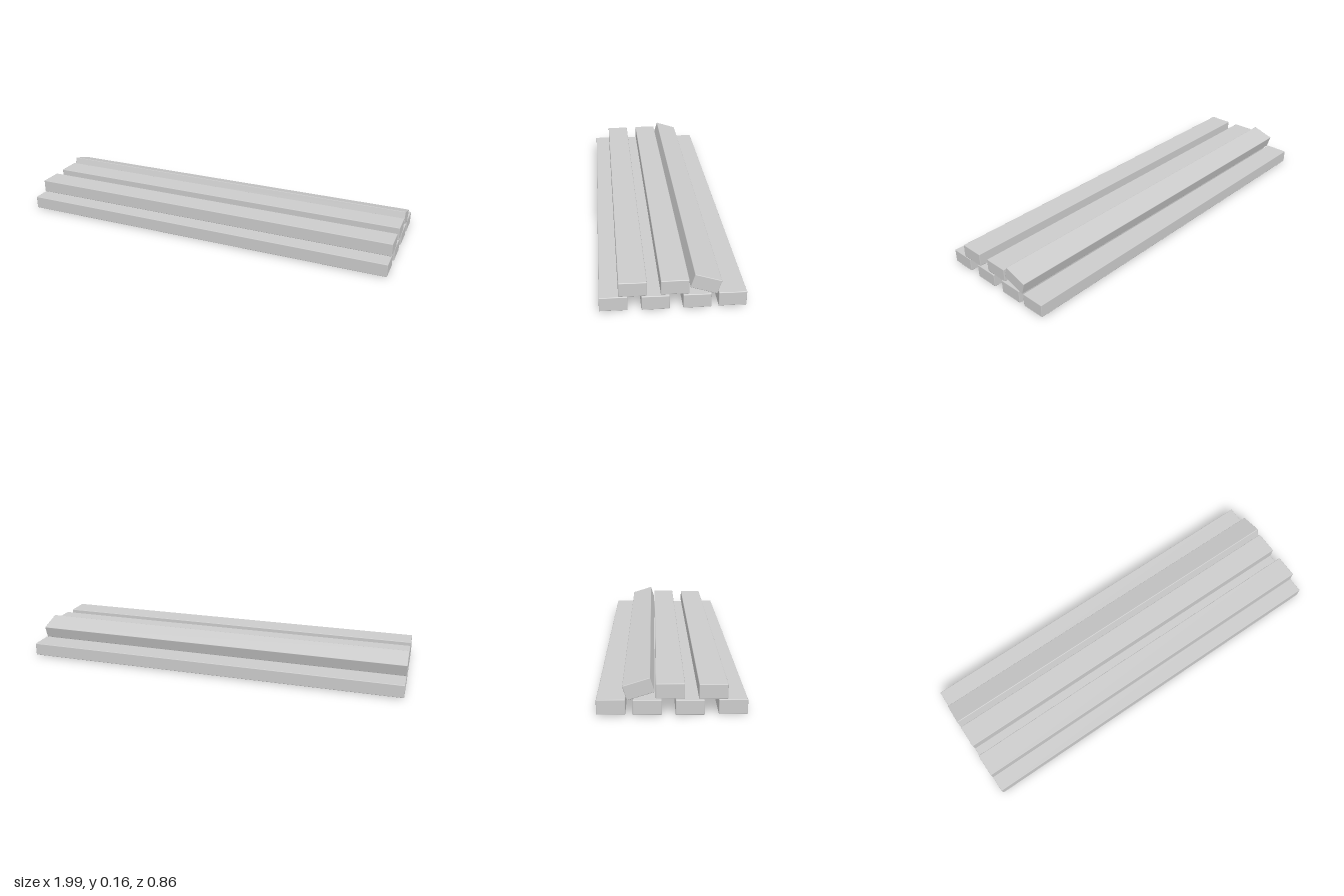
import * as THREE from 'three';
import { RoundedBoxGeometry } from 'three/addons/geometries/RoundedBoxGeometry.js';

export function createModel() {
  const group = new THREE.Group();
  group.name = 'plankStack';
  const material = new THREE.MeshStandardMaterial({ color: 0xcccccc });

  // One board with slightly eased edges, shared by the whole stack
  const board = new RoundedBoxGeometry(1.93, 0.064, 0.119, 1, 0.003);

  const stack = new THREE.Group();
  stack.name = 'stack';
  stack.rotation.y = 0.1275;
  group.add(stack);

  function addPlank(name, y, z, tilt = 0) {
    const plank = new THREE.Mesh(board, material);
    plank.name = name;
    plank.position.set(0, y, z);
    plank.rotation.x = tilt;
    stack.add(plank);
  }

  // Bottom layer: four boards with gaps, [y, z] of each centre
  [[0.034, 0.25], [0.032, 0.074], [0.033, -0.101], [0.036, -0.25]]
    .forEach(([y, z], i) => addPlank(`bottomPlank${i + 1}`, y, z));

  // Middle layer: two flat boards
  [[0.1, 0.169], [0.103, -0.007]]
    .forEach(([y, z], i) => addPlank(`middlePlank${i + 1}`, y, z));

  // Loose board leaning on the middle layer
  addPlank('leaningPlank', 0.1125, -0.1365, -0.303);

  return group;
}
